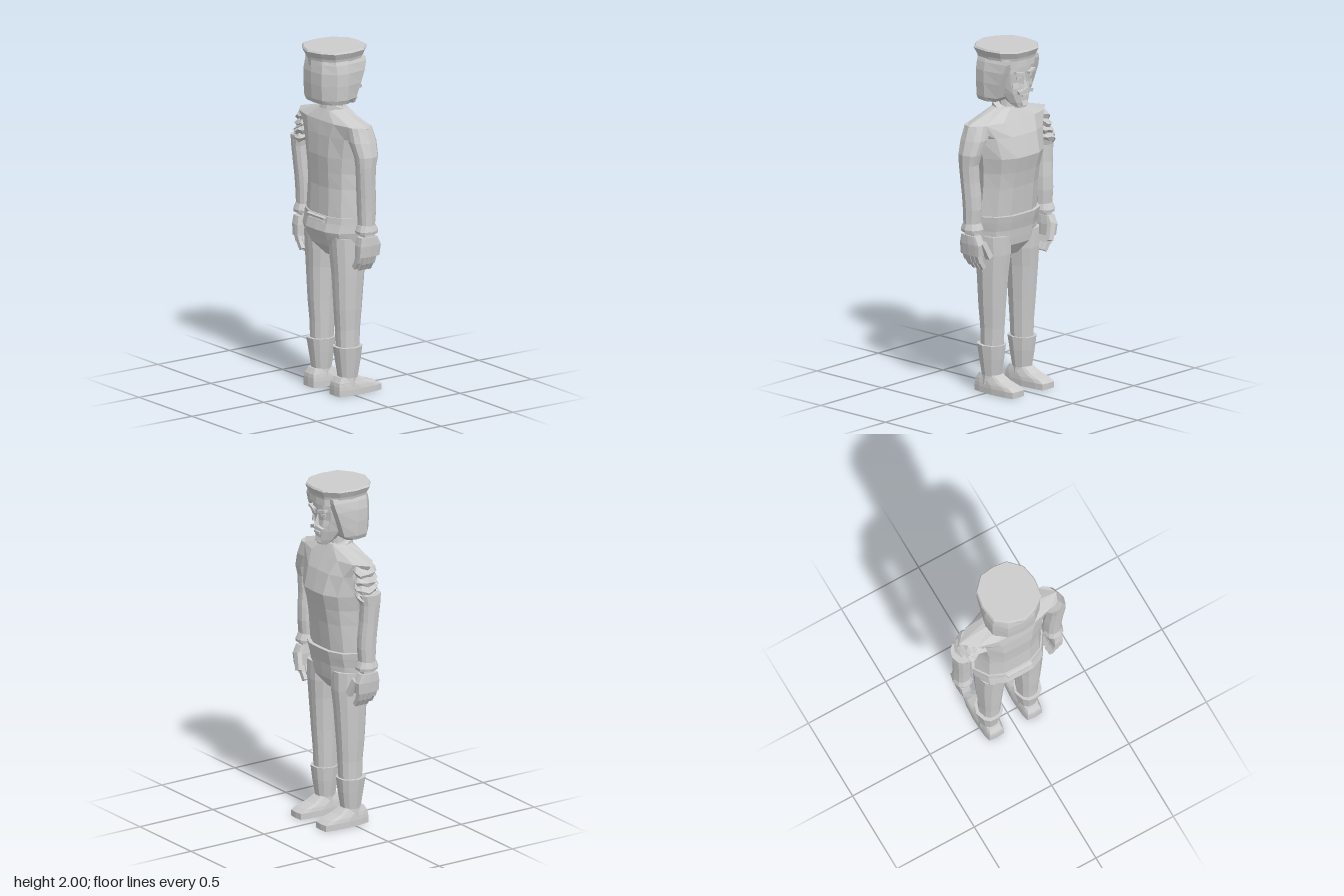
import * as THREE from 'three';

const cloth = new THREE.MeshStandardMaterial({ color: 0xcccccc, flatShading: true, side: THREE.DoubleSide });
cloth.name = 'plain grey';

function add(parent, name, geo, pos = [0, 0, 0], rot = [0, 0, 0]) {
  const m = new THREE.Mesh(geo, cloth);
  m.name = name;
  m.position.set(...pos);
  m.rotation.set(...rot);
  parent.add(m);
  return m;
}
const box = (w, h, d) => new THREE.BoxGeometry(w, h, d);

// Skin through rings of [x, y, z], bottom to top, with closed ends
function loft(rings) {
  const pos = [];
  const n = rings[0].length;
  const tri = (a, b, c) => pos.push(...a, ...b, ...c);
  const mid = r => [0, 1, 2].map(k => r.reduce((s, p) => s + p[k], 0) / n);
  const low = rings[0], top = rings[rings.length - 1];
  const cl = mid(low), ct = mid(top);
  for (let j = 0; j < n; j++) {
    const k = (j + 1) % n;
    for (let i = 0; i < rings.length - 1; i++) {
      const a = rings[i], b = rings[i + 1];
      tri(a[j], b[j], b[k]);
      tri(a[j], b[k], a[k]);
    }
    tri(cl, low[j], low[k]);
    tri(ct, top[k], top[j]);
  }
  const g = new THREE.BufferGeometry();
  g.setAttribute('position', new THREE.Float32BufferAttribute(pos, 3));
  g.computeVertexNormals();
  return g;
}

// Full ring from a half outline [x, z] running from -z to +z
function mirrorRing(half, y, cx = 0) {
  const other = half.filter(p => p[0] > 0).reverse().map(p => [-p[0], p[1]]);
  return [...half, ...other].map(([x, z]) => [x + cx, y, z]);
}

// Body ring: half width w, extent f (toward -z) to b (toward +z), flatness k
function bodyRing([y, w, f, b, cx = 0], k = 0.4) {
  const c = (f + b) / 2, h = (b - f) / 2, s = 0.6 + 0.4 * k;
  return mirrorRing([[0, c - h], [k * w, c - 0.97 * h], [s * w, c - 0.66 * h], [w, c],
    [s * w, c + 0.68 * h], [k * w, c + 0.97 * h], [0, c + h]], y, cx);
}
const body = (rows, k) => loft(rows.map(r => bodyRing(r, k)));

function buildLeg(s) {
  const g = new THREE.Group();
  g.name = s > 0 ? 'leftLeg' : 'rightLeg';
  g.scale.x = s;
  add(g, 'trouserLeg', body([[0.25, 0.062, -0.06, 0.07, 0.122], [0.38, 0.066, -0.066, 0.075, 0.12],
    [0.5, 0.073, -0.075, 0.085, 0.122], [0.7, 0.085, -0.09, 0.095, 0.121],
    [0.81, 0.094, -0.1, 0.103, 0.116], [0.92, 0.098, -0.1, 0.11, 0.114]]));
  add(g, 'boot', body([[0.05, 0.06, -0.05, 0.07, 0.124], [0.1, 0.055, -0.05, 0.062, 0.124],
    [0.2, 0.07, -0.066, 0.077, 0.124], [0.28, 0.08, -0.075, 0.09, 0.125]]));
  add(g, 'shoe', body([[0, 0.063, -0.2, 0.1, 0.123], [0.035, 0.063, -0.2, 0.1, 0.123],
    [0.055, 0.06, -0.165, 0.099, 0.123], [0.075, 0.055, -0.1, 0.095, 0.123],
    [0.105, 0.045, -0.05, 0.075, 0.123]], 0.75));
  return g;
}

function buildArm(s) {
  const g = new THREE.Group();
  g.name = s > 0 ? 'leftArm' : 'rightArm';
  g.scale.x = s;
  const sleeve = [[0.99, 0.05, -0.045, 0.045, 0.292], [1.1, 0.054, -0.055, 0.05, 0.291],
    [1.18, 0.055, -0.052, 0.055, 0.293], [1.26, 0.054, -0.045, 0.062, 0.298],
    [1.36, 0.055, -0.045, 0.07, 0.304], [1.42, 0.062, -0.06, 0.075, 0.3]];
  if (s > 0) sleeve.push([1.5, 0.075, -0.07, 0.085, 0.265], [1.58, 0.08, -0.06, 0.08, 0.23]);
  add(g, 'sleeve', body(sleeve));
  add(g, 'cuff', body([[0.97, 0.058, -0.064, 0.06, 0.292], [0.985, 0.061, -0.066, 0.063, 0.292],
    [1.02, 0.05, -0.05, 0.05, 0.292]]));
  add(g, 'wrist', box(0.045, 0.06, 0.07), [0.297, 0.95, -0.005]);
  add(g, 'palm', loft([bodyRing([0.835, 0.03, -0.075, 0.065, 0.295], 0.75),
    bodyRing([0.9, 0.035, -0.08, 0.065, 0.298], 0.75), bodyRing([0.95, 0.032, -0.055, 0.055, 0.3], 0.75)]));
  for (let i = 0; i < 4; i++) {
    const z = 0.048 - i * 0.031, drop = i === 0 ? 0.012 : 0;
    add(g, 'fingerBase', box(0.034, 0.06, 0.027), [0.287, 0.82 + drop, z], [0, 0, -0.35]);
    add(g, 'fingerTip', box(0.026, 0.055, 0.024), [0.263, 0.775 + drop, z], [0, 0, -0.6]);
  }
  add(g, 'thumb', box(0.035, 0.1, 0.03), [0.264, 0.865, -0.08], [0.2, 0, -0.4]);
  return g;
}

function buildHead() {
  const g = new THREE.Group();
  g.name = 'head';
  // Neck and tilted collar
  add(g, 'neck', body([[1.58, 0.05, -0.045, 0.06], [1.72, 0.045, -0.035, 0.05]]));
  add(g, 'collar', body([[-0.02, 0.08, -0.078, 0.075], [0.012, 0.085, -0.08, 0.08],
    [0.02, 0.065, -0.06, 0.06]]), [0, 1.635, 0.012], [-0.38, 0, 0]);

  // Bobbed hair, flat across the front where the face sits
  const hair = [[1.69, 0.148, -0.02, 0.155], [1.715, 0.16, -0.045, 0.165], [1.8, 0.166, -0.075, 0.17],
    [1.87, 0.166, -0.1, 0.17], [1.92, 0.157, -0.115, 0.162], [1.945, 0.147, -0.115, 0.155]];
  add(g, 'hair', loft(hair.map(([y, w, f, b]) => mirrorRing(
    [[0, f], [0.86 * w, f], [w, 0.03], [0.93 * w, 0.1], [0.52 * w, 0.94 * b], [0, b]], y))));

  // Face and features
  add(g, 'face', body([[1.655, 0.04, -0.125, -0.07], [1.685, 0.062, -0.13, -0.02], [1.74, 0.09, -0.132, 0.03],
    [1.8, 0.108, -0.126, 0.03], [1.86, 0.118, -0.132, 0.03], [1.94, 0.115, -0.135, 0.03]]));
  const nose = new THREE.ConeGeometry(0.02, 0.07, 4);
  add(g, 'nose', nose, [0, 1.805, -0.134], [0.12, 0, 0]);
  add(g, 'lips', box(0.05, 0.012, 0.015), [0, 1.727, -0.134]);
  add(g, 'chin', box(0.045, 0.028, 0.02), [0, 1.68, -0.125], [0.3, 0, 0]);
  for (const s of [-1, 1]) {
    add(g, 'moustache', box(0.055, 0.018, 0.022), [s * 0.027, 1.755, -0.138], [0, s * -0.2, s * -0.25]);
    add(g, 'brow', box(0.06, 0.014, 0.025), [s * 0.047, 1.862, -0.134], [0, s * -0.2, s * 0.2]);
    add(g, 'eye', box(0.032, 0.014, 0.009), [s * 0.045, 1.835, -0.126], [0, s * -0.2, 0]);
    add(g, 'cheek', box(0.035, 0.03, 0.015), [s * 0.06, 1.79, -0.115], [0.2, s * -0.5, 0]);
  }

  // Flat-topped cap
  const outline = [[0, -0.168], [0.085, -0.158], [0.155, -0.085], [0.172, 0.01],
    [0.157, 0.115], [0.085, 0.17], [0, 0.198]];
  const capRing = (y, k) => mirrorRing(outline.map(([x, z]) => [x * k, z * k]), y);
  add(g, 'cap', loft([capRing(1.94, 0.88), capRing(1.955, 0.9), capRing(1.99, 1), capRing(2, 0.96)]));
  add(g, 'capBand', loft([capRing(1.9, 0.87), capRing(1.945, 0.86)]));
  return g;
}

export function createModel() {
  const model = new THREE.Group();
  model.name = 'standingFigure';

  // Jacket with wide pointed shoulders
  add(model, 'jacket', body([[1.02, 0.215, -0.105, 0.118], [1.2, 0.208, -0.125, 0.112],
    [1.29, 0.21, -0.142, 0.118], [1.38, 0.225, -0.165, 0.125], [1.5, 0.25, -0.132, 0.12],
    [1.58, 0.315, -0.09, 0.11], [1.645, 0.08, -0.055, 0.075]]));
  // Hips and seat
  add(model, 'hips', body([[0.79, 0.06, -0.05, 0.05], [0.86, 0.19, -0.1, 0.11], [0.9, 0.214, -0.105, 0.125],
    [0.95, 0.222, -0.11, 0.145], [1, 0.226, -0.122, 0.13], [1.037, 0.228, -0.13, 0.125]]));
  // Folded hem at the back
  add(model, 'hemFold', box(0.16, 0.01, 0.03), [0, 1.028, 0.128], [0.2, 0, 0]);
  add(model, 'hemFold', box(0.14, 0.009, 0.025), [0, 1.003, 0.128], [-0.2, 0, 0]);

  // Crumpled torn shoulder on the right
  const folds = [];
  for (let i = 0; i < 9; i++) {
    const t = i / 8, puff = i % 2 ? 1 : 0.78;
    const r = bodyRing([1.39 + 0.175 * t, 0.066 * puff, -0.065 * puff, 0.085 * puff, -0.285 + 0.045 * t]);
    folds.push(r.map(([x, y, z], j) => [x, y + 0.25 * (x + 0.26) + 0.008 * Math.sin(j * 2.3 + i), z + 0.25 * (x + 0.26)]));
  }
  add(model, 'tornShoulder', loft(folds));
  for (let i = 0; i < 4; i++) {
    add(model, 'tornScrap', new THREE.ConeGeometry(0.018, 0.1, 3),
      [-0.235 - 0.018 * i, 1.51 - 0.03 * i, 0.085 - 0.01 * i], [0.3, 0.4 * i, 1.9 + 0.15 * i]);
  }

  for (const s of [1, -1]) model.add(buildLeg(s), buildArm(s));
  model.add(buildHead());
  return model;
}
